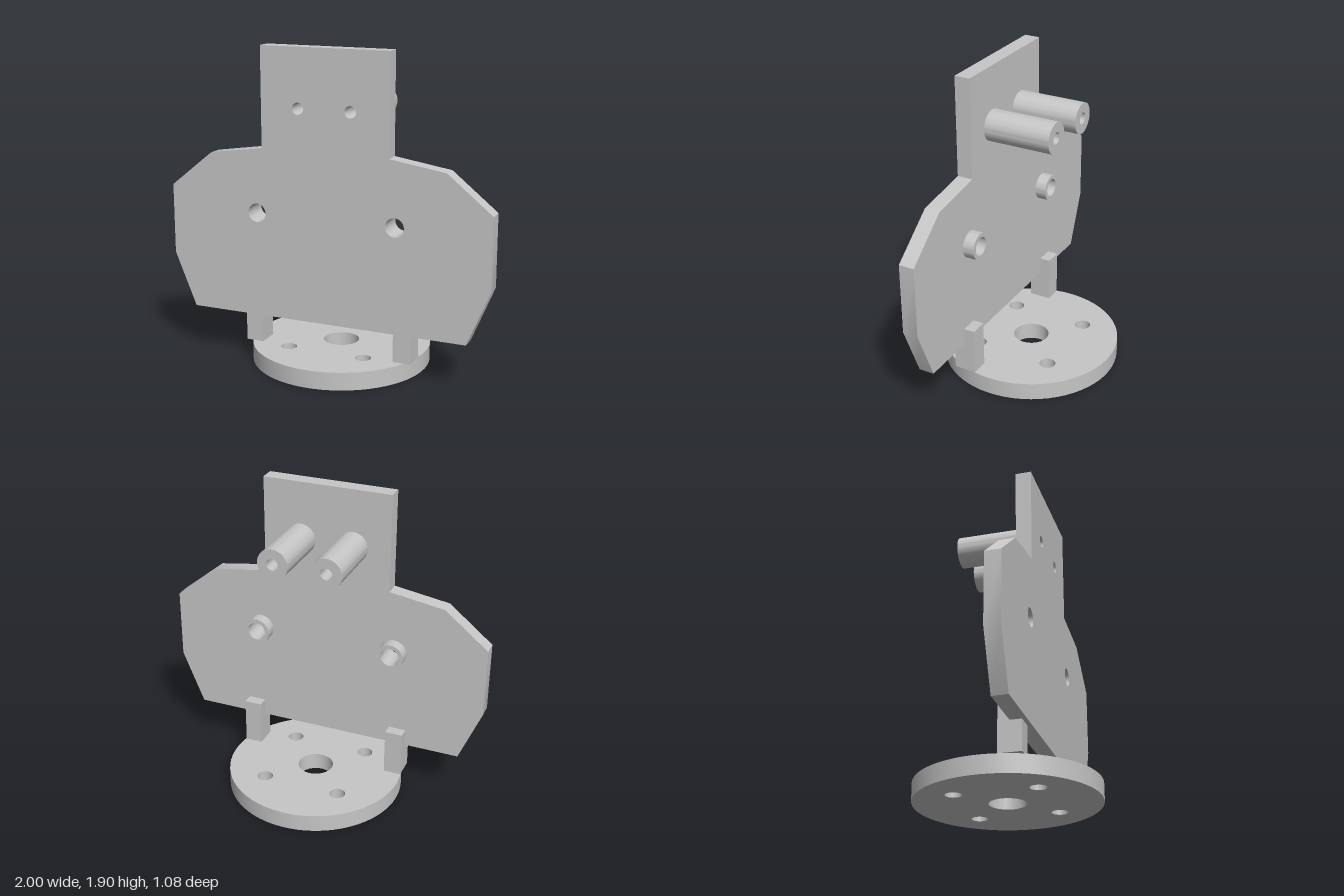
import * as THREE from 'three';
import { toCreasedNormals } from 'three/addons/utils/BufferGeometryUtils.js';

const metal = new THREE.MeshStandardMaterial({ color: 0xc6c6c6 });
metal.name = 'light grey metal';

function circle(path, x, y, r) {
  path.absarc(x, y, r, 0, Math.PI * 2, false);
  return path;
}

// Extrude a shape along +z with round holes given as [x, y, radius]
function extrude(shape, holes, depth) {
  for (const [x, y, r] of holes) shape.holes.push(circle(new THREE.Path(), x, y, r));
  const geometry = new THREE.ExtrudeGeometry(shape, { depth, bevelEnabled: false, curveSegments: 32 });
  return toCreasedNormals(geometry, 0.55);
}

function addMesh(group, name, geometry) {
  const mesh = new THREE.Mesh(geometry, metal);
  mesh.name = name;
  group.add(mesh);
  return mesh;
}

export function createModel() {
  const model = new THREE.Group();
  model.name = 'mountingBracket';

  const plateBack = 0.162, plateFront = 0.256;
  const pinX = 0.162, pinY = 1.555, pinHole = 0.035;
  const bossX = 0.432, bossY = 0.92, bossHole = 0.056;

  // Round base with a centre bore and four bolt holes
  const baseHoles = [[0, 0, 0.108]];
  for (const x of [-0.24, 0.24]) for (const y of [-0.24, 0.24]) baseHoles.push([x, y, 0.048]);
  const base = extrude(circle(new THREE.Shape(), 0, 0, 0.539), baseHoles, 0.108);
  addMesh(model, 'base', base).rotation.x = -Math.PI / 2;

  // Upright plate: half outline mirrored to the other side
  const half = [[0.865, 0.287], [1, 0.616], [1, 1.042], [0.733, 1.258], [0.394, 1.31], [0.394, 1.905]];
  const outline = [...half, ...half.map(([x, y]) => [-x, y]).reverse()];
  const plateShape = new THREE.Shape(outline.map(([x, y]) => new THREE.Vector2(x, y)));
  const plateHoles = [-1, 1].flatMap(s => [[s * pinX, pinY, pinHole], [s * bossX, bossY, bossHole]]);
  addMesh(model, 'plate', extrude(plateShape, plateHoles, plateFront - plateBack)).position.z = plateBack;

  // Hollow cylinder reaching from the back of the plate to zEnd
  const tube = (name, x, y, radius, bore, zEnd) => {
    const shape = circle(new THREE.Shape(), 0, 0, radius);
    addMesh(model, name, extrude(shape, [[0, 0, bore]], plateBack - zEnd)).position.set(x, y, zEnd);
  };

  for (const [side, s] of [['left', 1], ['right', -1]]) {
    tube(side + 'Standoff', s * pinX, pinY, 0.093, pinHole, -0.244);
    tube(side + 'Boss', s * bossX, bossY, 0.081, bossHole, 0.092);
    // Post joining the base to the plate
    const post = addMesh(model, side + 'Post', new THREE.BoxGeometry(0.108, 0.285, 0.135));
    post.position.set(s * 0.474, 0.2505, 0.1625);
  }
  return model;
}
